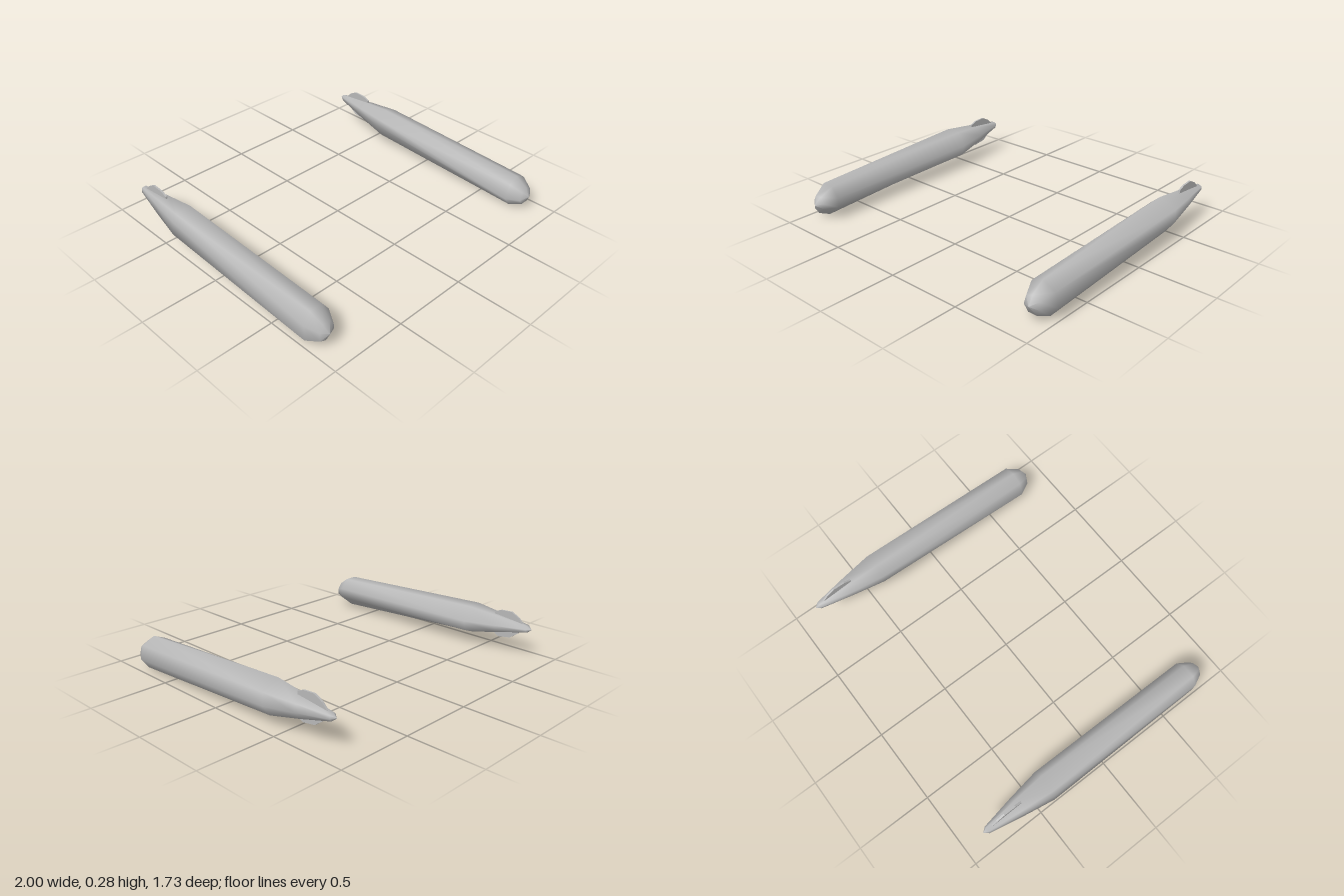
import * as THREE from 'three';

const grey = new THREE.MeshStandardMaterial({ color: 0xb8b8b8, side: THREE.DoubleSide });
grey.name = 'paintedGrey';

// Seven-sided hull sections, counterclockwise from the front, as offsets from the axis
const leftTank = {
  x: 0.893,
  front: [[-0.048, -0.092], [0.054, -0.092], [0.107, -0.022], [0.085, 0.065], [0.0, 0.107], [-0.075, 0.075], [-0.102, -0.025]],
  back: [[-0.05, -0.098], [0.042, -0.1], [0.092, -0.03], [0.091, 0.053], [-0.027, 0.102], [-0.09, 0.045], [-0.102, -0.001]],
};
const rightTank = {
  x: -0.902,
  front: [[-0.007, -0.105], [0.1, -0.024], [0.097, 0.04], [0.048, 0.108], [-0.04, 0.108], [-0.084, 0.03], [-0.082, -0.073]],
  back: [[-0.007, -0.102], [0.08, -0.07], [0.1, 0.0], [0.046, 0.093], [-0.066, 0.093], [-0.09, 0.04], [-0.098, -0.048]],
};

// Stations along the axis: z, axis height, section scale, which section
const stations = [
  [0.862, 0.105, 0, 'front'],
  [0.832, 0.102, 0.56, 'front'],
  [0.75, 0.11, 1, 'front'],
  [-0.4, 0.172, 1, 'back'],
  [-0.62, 0.186, 0.64, 'back'],
  [-0.835, 0.2, 0.24, 'back'],
  [-0.865, 0.2, 0, 'back'],
];

function hullGeometry(tank) {
  const pos = [], index = [], n = 7;
  for (const [z, y, s, section] of stations)
    for (const [dx, dy] of tank[section]) pos.push(dx * s, y + dy * s, z);
  for (let r = 0; r < stations.length - 1; r++) {
    for (let i = 0; i < n; i++) {
      const a = r * n + i, b = r * n + (i + 1) % n, c = a + n, d = b + n;
      if (stations[r][2] > 0) index.push(a, c, b);
      if (stations[r + 1][2] > 0) index.push(b, c, d);
      else index.push(a, c, b);
    }
  }
  const g = new THREE.BufferGeometry();
  g.setAttribute('position', new THREE.Float32BufferAttribute(pos, 3));
  g.setIndex(index);
  g.computeVertexNormals();
  return g;
}

// Thin vertical fin drawn in (z, y)
function finGeometry(points) {
  const shape = new THREE.Shape(points.map(([z, y]) => new THREE.Vector2(-z, y)));
  const g = new THREE.ExtrudeGeometry(shape, { depth: 0.012, bevelEnabled: false });
  g.translate(0, 0, -0.006);
  g.rotateY(Math.PI / 2);
  return g;
}

const upperFin = finGeometry([[-0.58, 0.22], [-0.585, 0.265], [-0.63, 0.283], [-0.71, 0.288], [-0.765, 0.26], [-0.8, 0.225], [-0.8, 0.2]]);
const lowerFin = finGeometry([[-0.58, 0.15], [-0.8, 0.19], [-0.765, 0.15], [-0.71, 0.11], [-0.62, 0.096], [-0.59, 0.112]]);

export function createModel() {
  const model = new THREE.Group();
  model.name = 'tankPair';
  for (const [name, tank] of [['leftTank', leftTank], ['rightTank', rightTank]]) {
    const group = new THREE.Group();
    group.name = name;
    group.position.x = tank.x;
    for (const [part, geometry] of [['hull', hullGeometry(tank)], ['upperFin', upperFin], ['lowerFin', lowerFin]]) {
      const mesh = new THREE.Mesh(geometry, grey);
      mesh.name = part;
      group.add(mesh);
    }
    model.add(group);
  }
  return model;
}
